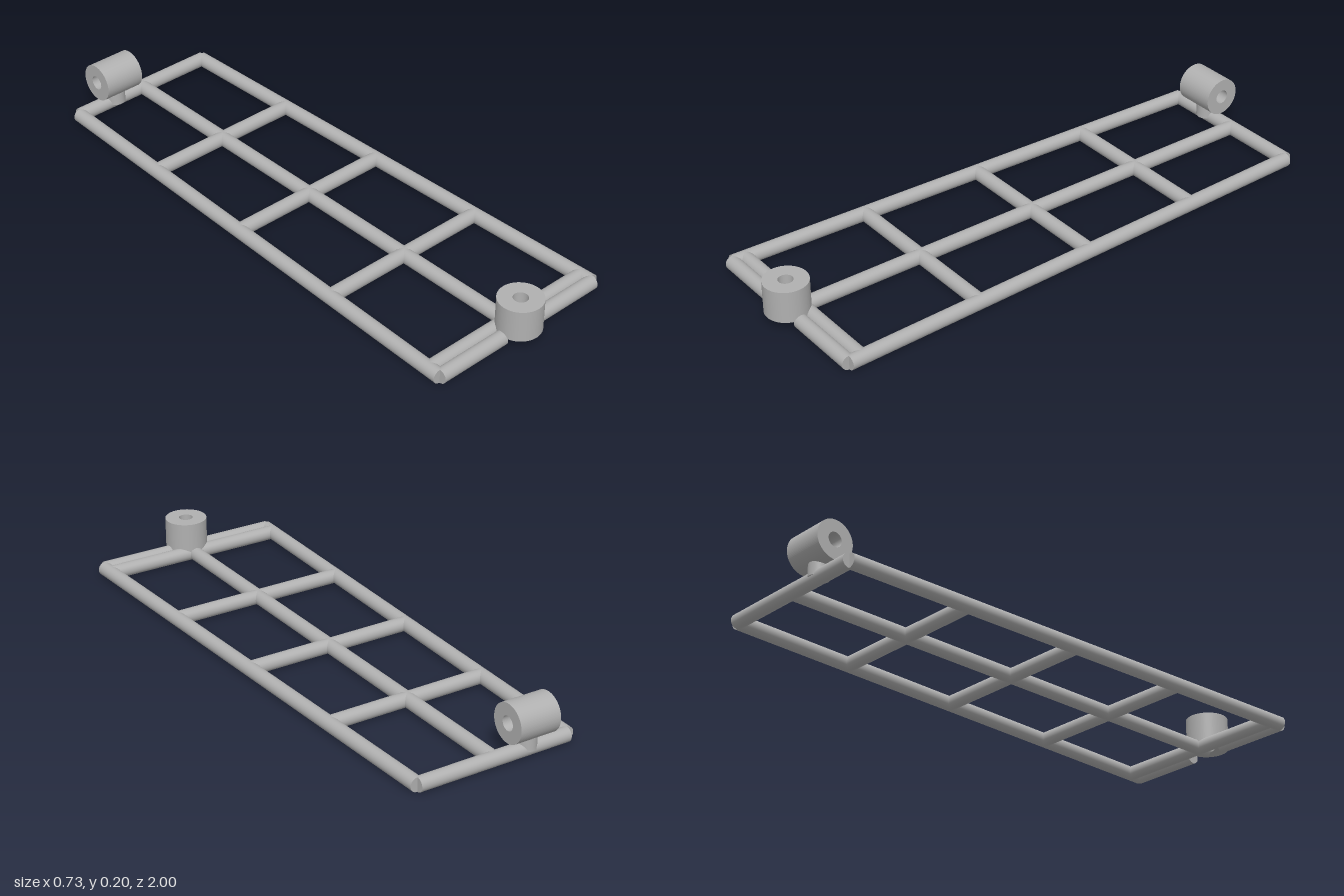
import * as THREE from 'three';

export function createModel() {
  const group = new THREE.Group();
  const steel = new THREE.MeshStandardMaterial({ color: 0xb0b0b0 });
  steel.name = 'grey steel';

  const R = 0.025; // tube radius, also the height of the frame's centre line
  const BACK = -0.937, FRONT = 0.922;
  const railX = z => 0.28 + 0.06 * (z - BACK) / (FRONT - BACK);

  function add(name, geometry) {
    const mesh = new THREE.Mesh(geometry, steel);
    mesh.name = name;
    group.add(mesh);
    return mesh;
  }

  // Round bar between two points
  function bar(name, a, b, radius = R) {
    const start = new THREE.Vector3(...a), end = new THREE.Vector3(...b);
    const dir = end.clone().sub(start);
    const mesh = add(name, new THREE.CylinderGeometry(radius, radius, dir.length(), 40));
    mesh.position.copy(start).add(end).multiplyScalar(0.5);
    mesh.quaternion.setFromUnitVectors(new THREE.Vector3(0, 1, 0), dir.normalize());
    return mesh;
  }

  // Thick sleeve with a through hole, centred, axis along y
  function sleeve(name, outer, inner, length) {
    const shape = new THREE.Shape().absarc(0, 0, outer, 0, Math.PI * 2);
    shape.holes.push(new THREE.Path().absarc(0, 0, inner, 0, Math.PI * 2, true));
    const geometry = new THREE.ExtrudeGeometry(shape, { depth: length, bevelEnabled: false, curveSegments: 48 });
    geometry.translate(0, 0, -length / 2).rotateX(-Math.PI / 2);
    return add(name, geometry);
  }

  // Tapering side rails and the central spine
  for (const [side, s] of [['left', 1], ['right', -1]]) {
    bar(side + 'Rail', [s * railX(BACK), R, BACK], [s * railX(FRONT), R, FRONT]);
    // Front bar, interrupted by the pivot sleeve
    bar(side + 'FrontBar', [s * 0.07, R, FRONT], [s * 0.34, R, FRONT]);
  }
  bar('spine', [0, R, BACK], [0, R, 0.915]);

  // Cross bars
  for (const z of [BACK, -0.485, -0.035, 0.42, 0.875]) {
    bar('crossBar', [-railX(z), R, z], [railX(z), R, z]);
  }

  // Upright sleeve at the front
  sleeve('frontSleeve', 0.075, 0.025, 0.112).position.set(0, 0.089, 0.925);

  // Sideways sleeve on a short post at the back
  const rear = sleeve('rearSleeve', 0.067, 0.025, 0.15);
  rear.rotation.z = Math.PI / 2;
  rear.position.set(-0.126, 0.128, -0.933);
  bar('rearPost', [-0.126, R, -0.931], [-0.126, 0.075, -0.931], 0.035);

  return group;
}
